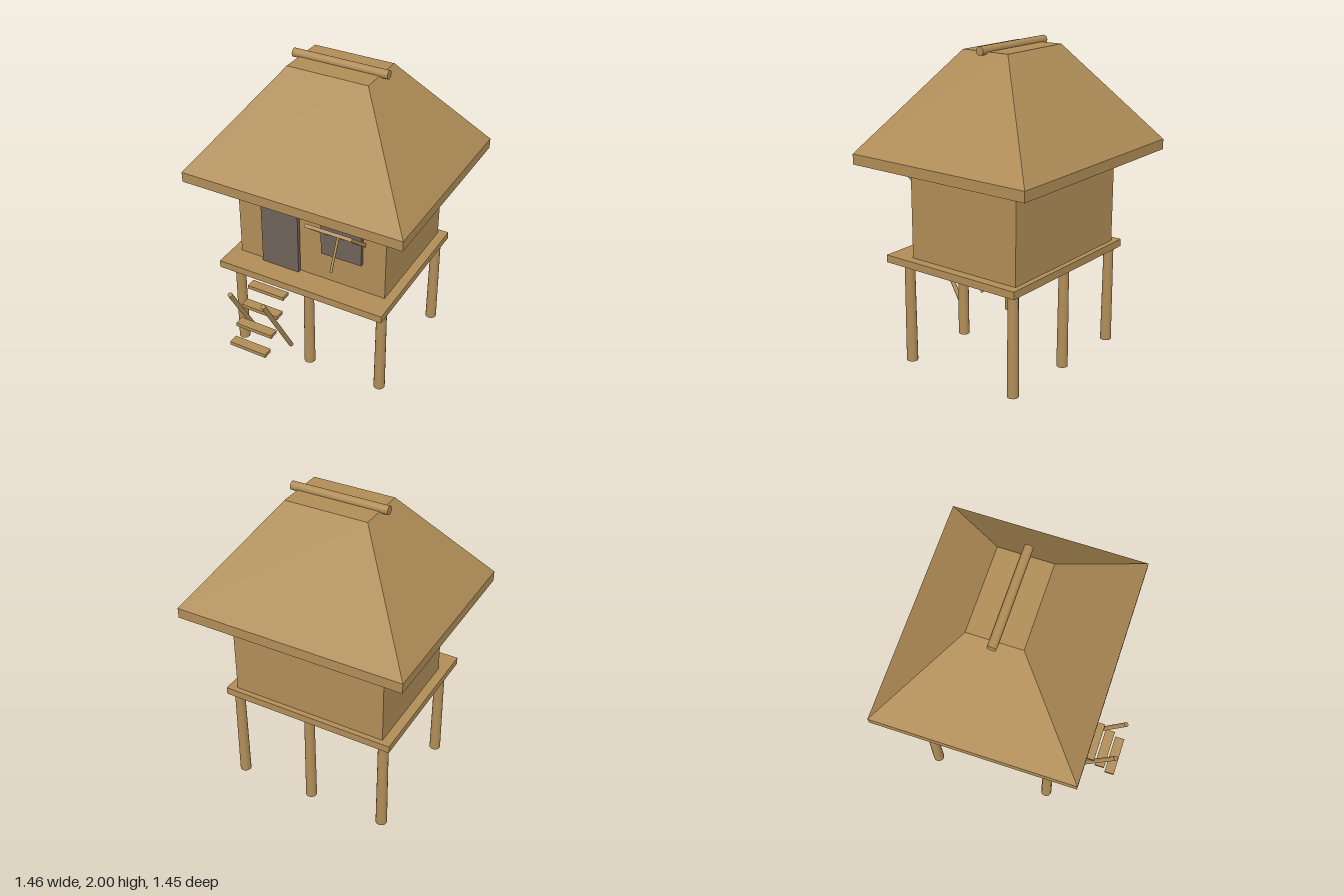
import * as THREE from 'three';

export function createModel() {
  const model = new THREE.Group();
  model.name = 'stiltHut';
  const wood = new THREE.MeshStandardMaterial({ color: 0xb08d57 });
  wood.name = 'bamboo wood';
  const dark = new THREE.MeshStandardMaterial({ color: 0x6f6358 });
  dark.name = 'dark opening';

  function add(name, geometry, material, x, y, z, parent = model) {
    const mesh = new THREE.Mesh(geometry, material);
    mesh.name = name;
    mesh.position.set(x, y, z);
    parent.add(mesh);
    return mesh;
  }

  // Box given by its lower and upper corners
  function box(name, material, [x0, y0, z0], [x1, y1, z1], parent = model) {
    return add(name, new THREE.BoxGeometry(x1 - x0, y1 - y0, z1 - z0), material,
      (x0 + x1) / 2, (y0 + y1) / 2, (z0 + z1) / 2, parent);
  }

  // Round pole between two points
  function pole(name, from, to, r0, r1, parent = model) {
    const a = new THREE.Vector3(...from), b = new THREE.Vector3(...to);
    const d = b.clone().sub(a);
    const mid = a.clone().add(b).multiplyScalar(0.5);
    const mesh = add(name, new THREE.CylinderGeometry(r1, r0, d.length(), 16), wood, mid.x, mid.y, mid.z, parent);
    mesh.quaternion.setFromUnitVectors(new THREE.Vector3(0, 1, 0), d.normalize());
    return mesh;
  }

  // Stilts and platform
  for (const x of [-0.51, 0, 0.51]) {
    for (const z of [0.315, -0.485]) pole('stilt', [x, 0, z], [x, 0.65, z], 0.036, 0.032);
  }
  box('platform', wood, [-0.572, 0.645, -0.537], [0.572, 0.693, 0.45]);

  // Walls, door and window
  box('walls', wood, [-0.512, 0.693, -0.503], [0.512, 1.29, 0.285]);
  box('door', dark, [-0.335, 0.693, 0.27], [-0.075, 1.155, 0.312]);
  box('window', dark, [0.085, 0.895, 0.27], [0.36, 1.13, 0.308]);

  // Propped shutter
  const shutter = add('shutter', new THREE.BoxGeometry(0.31, 0.022, 0.25), wood, 0.222, 1.11, 0.368);
  shutter.rotation.x = -0.7;
  pole('shutterProp', [0.222, 0.88, 0.43], [0.222, 1.08, 0.343], 0.008, 0.008);

  // Hipped roof with a flat top, an eave band and a ridge pole
  box('eaves', wood, [-0.732, 1.29, -0.725], [0.732, 1.355, 0.545]);
  const hip = new THREE.BoxGeometry(1.464, 0.61, 1.27);
  const p = hip.attributes.position;
  for (let i = 0; i < p.count; i++) {
    if (p.getY(i) > 0) p.setXYZ(i, Math.sign(p.getX(i)) * 0.265, p.getY(i), Math.sign(p.getZ(i)) * 0.165);
  }
  hip.computeVertexNormals();
  add('roof', hip, wood, 0, 1.66, -0.09);
  pole('ridgePole', [-0.314, 1.973, -0.09], [0.314, 1.973, -0.09], 0.027, 0.027);

  // Ladder
  const ladder = new THREE.Group();
  ladder.name = 'ladder';
  model.add(ladder);
  for (const x of [-0.322, -0.086]) {
    pole('ladderRail', [x, 0.165, 0.407], [x, 0.695, 0.708], 0.015, 0.015, ladder);
  }
  for (let i = 0; i < 4; i++) {
    const y = 0.318 + i * 0.0965, z = 0.695 - i * 0.0755;
    box('ladderStep', wood, [-0.332, y - 0.012, z - 0.032], [-0.076, y + 0.012, z + 0.032], ladder);
  }
  return model;
}
